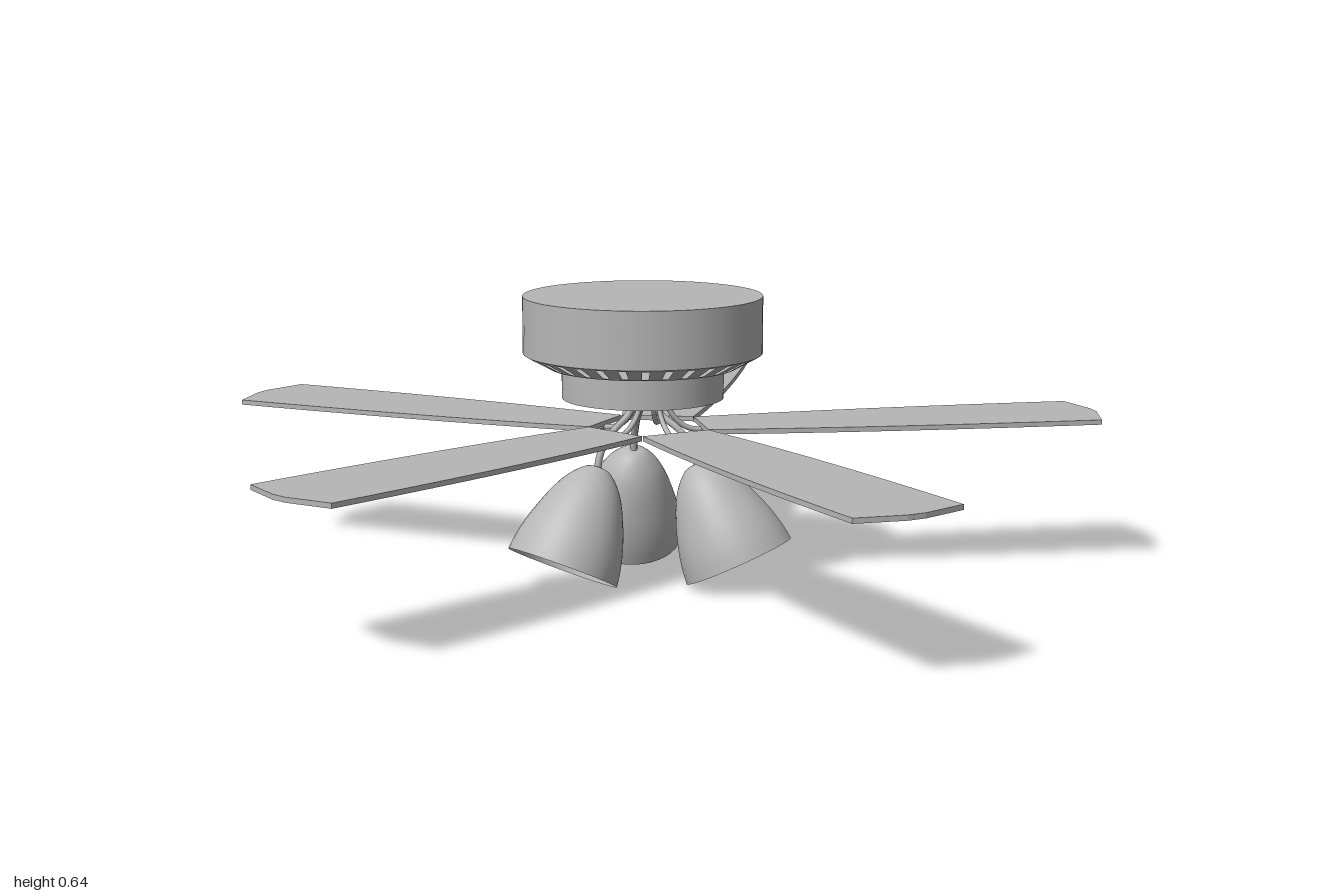
import * as THREE from 'three';

const grey = new THREE.MeshStandardMaterial({ color: 0xb6b6b6, side: THREE.DoubleSide });
grey.name = 'grey';

function add(parent, name, geometry) {
  const mesh = new THREE.Mesh(geometry, grey);
  mesh.name = name;
  parent.add(mesh);
  return mesh;
}

function tube(points, radius, segments = 20) {
  const curve = new THREE.CatmullRomCurve3(points.map(p => new THREE.Vector3(...p)));
  return new THREE.TubeGeometry(curve, segments, radius, 8);
}

// Group turned so its local +x points at the given angle from +x towards +z
function spoke(parent, name, degrees) {
  const g = new THREE.Group();
  g.name = name;
  g.rotation.y = -THREE.MathUtils.degToRad(degrees);
  parent.add(g);
  return g;
}

function createHousing() {
  const g = new THREE.Group();
  g.name = 'motorHousing';
  add(g, 'drum', new THREE.CylinderGeometry(0.266, 0.266, 0.127, 64)).position.y = 0.5825;
  add(g, 'lowerHub', new THREE.CylinderGeometry(0.18, 0.18, 0.07, 64)).position.y = 0.453;

  // Bevel with ventilation slots: two thin bands joined by ribs
  const band = (name, r1, r2, h, y, start, length, segs) => add(g, name,
    new THREE.CylinderGeometry(r1, r2, h, segs, 1, true, start, length)).position.y = y;
  band('bevelTopBand', 0.266, 0.259, 0.004, 0.517, 0, Math.PI * 2, 64);
  band('bevelBottomBand', 0.217, 0.21, 0.004, 0.490, 0, Math.PI * 2, 64);
  const count = 32, step = Math.PI * 2 / count;
  for (let i = 0; i < count; i++) {
    band('ventRib', 0.259, 0.217, 0.023, 0.5035, (i + 0.16) * step, step * 0.68, 2);
  }
  const ledge = add(g, 'bevelLedge', new THREE.RingGeometry(0.175, 0.21, 64));
  ledge.rotation.x = Math.PI / 2;
  ledge.position.y = 0.488;
  return g;
}

function bladeGeometry() {
  const s = new THREE.Shape();
  s.moveTo(0.114, -0.082);
  s.quadraticCurveTo(0.5, -0.127, 1.013, -0.126);
  s.lineTo(1.04, -0.02);
  s.lineTo(1.04, 0.02);
  s.lineTo(1.013, 0.126);
  s.quadraticCurveTo(0.5, 0.127, 0.114, 0.082);
  s.closePath();
  const geo = new THREE.ExtrudeGeometry(s, { depth: 0.011, bevelEnabled: false, curveSegments: 12 });
  geo.rotateX(Math.PI / 2);
  return geo;
}

function createLamp(parent, degrees) {
  const g = spoke(parent, 'lamp', degrees);
  const tilt = THREE.MathUtils.degToRad(26), apex = [0.132, 0.258, 0];

  // Curved arm from the hub to the shade
  add(g, 'lampArm', tube([[0.025, 0.43, 0], [0.04, 0.385, 0], [0.085, 0.35, 0],
    [0.118, 0.31, 0], apex], 0.008));

  const head = new THREE.Group();
  head.name = 'lampHead';
  head.position.set(...apex);
  head.rotation.z = tilt;
  g.add(head);

  // Open bell shade
  const profile = new THREE.SplineCurve([[0.001, 0.018], [0.028, 0.012], [0.06, -0.02], [0.085, -0.065],
    [0.108, -0.125], [0.121, -0.175], [0.127, -0.218]].map(p => new THREE.Vector2(...p)));
  add(head, 'shade', new THREE.LatheGeometry(profile.getPoints(24), 40));

  // Socket and spiral bulb
  add(head, 'socket', new THREE.CylinderGeometry(0.024, 0.028, 0.08, 20)).position.y = -0.035;
  const coil = [];
  for (let i = 0; i <= 48; i++) {
    const a = i / 48 * Math.PI * 8;
    coil.push([0.029 * Math.cos(a), -0.08 - 0.1 * i / 48, 0.029 * Math.sin(a)]);
  }
  add(head, 'spiralBulb', tube(coil, 0.009, 96));
}

export function createModel() {
  const model = new THREE.Group();
  model.name = 'ceilingFan';

  const body = new THREE.Group();
  body.name = 'fanBody';
  body.position.set(-0.049, 0, -0.01);
  model.add(body);
  body.add(createHousing());

  // Five blades, each with a bent iron and a flat fixing plate beneath
  const rotor = new THREE.Group();
  rotor.name = 'rotor';
  rotor.position.set(-0.047, 0, -0.031);
  model.add(rotor);
  const blade = bladeGeometry();
  for (let i = 0; i < 5; i++) {
    const g = spoke(rotor, 'bladeAssembly', 7 + 72 * i);
    add(g, 'blade', blade).position.y = 0.353;
    add(g, 'bladeIron', tube([[0.03, 0.425, 0], [0.045, 0.38, 0], [0.08, 0.346, 0], [0.13, 0.337, 0]], 0.006));
    add(g, 'bladePlate', new THREE.BoxGeometry(0.1, 0.006, 0.02)).position.set(0.165, 0.339, 0);
  }

  // Three lamps
  for (let i = 0; i < 3; i++) createLamp(body, 86 + 120 * i);
  return model;
}
